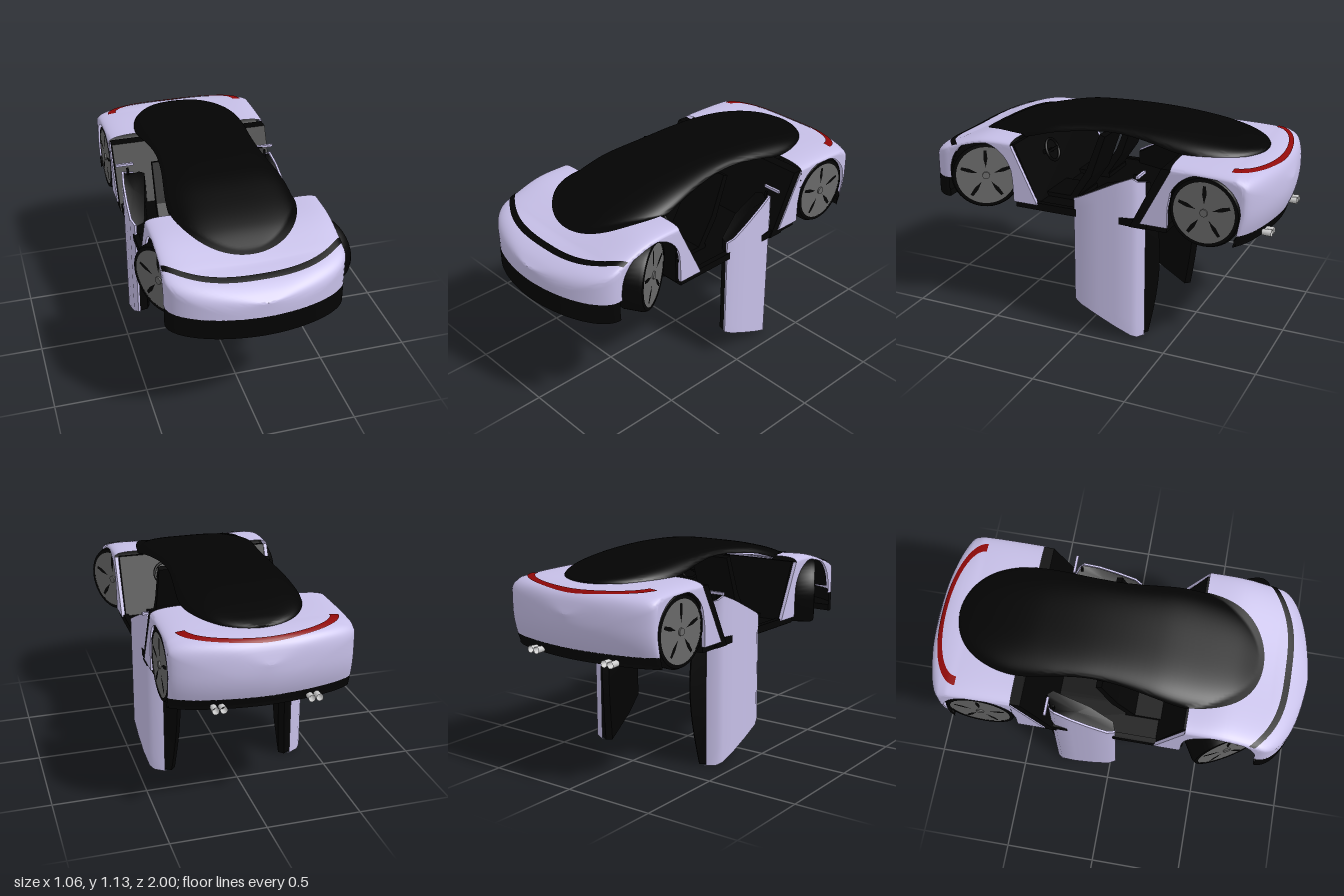
import * as THREE from 'three';
import { toCreasedNormals } from 'three/addons/utils/BufferGeometryUtils.js';

const mat = (name, color) => new THREE.MeshStandardMaterial({ name, color, side: THREE.DoubleSide });
const clamp = (v) => Math.min(1, Math.max(0, v));

// Smooth lookup in [z, value] pairs sorted by falling z
function lookup(table, z) {
  const n = table.length - 1;
  let i = 0;
  while (i < n - 1 && z < table[i + 1][0]) i++;
  const slope = (k) => {
    const a = table[Math.max(0, k - 1)], b = table[Math.min(n, k + 1)];
    return (b[1] - a[1]) / (b[0] - a[0]);
  };
  const [z0, v0] = table[i], [z1, v1] = table[i + 1], h = z1 - z0, t = clamp((z - z0) / h);
  const q = t * t * (3 - 2 * t);
  return v0 + (v1 - v0) * q + h * t * (1 - t) * ((1 - t) * slope(i) - t * slope(i + 1));
}

const WHEEL_Y = 0.807, WHEEL_R = 0.187, ARCH_R = 0.192, FRONT_Z = 0.585, REAR_Z = -0.68;
const HOOD = [[1, 0.845], [0.95, 0.895], [0.88, 0.942], [0.75, 0.998], [0.585, 1.046], [0.4, 1.052],
  [-0.5, 1.048], [-0.8, 1.04], [-0.92, 1.015], [-0.97, 0.975], [-1, 0.89]];

// Half width of the body
function halfWidth(z) {
  if (z > 0.8) return 0.455 * Math.max(0, 1 - ((z - 0.8) / 0.2) ** 1.9) ** 0.53;
  if (z < -0.88) return 0.463 * Math.max(0, 1 - ((-z - 0.88) / 0.12) ** 1.7) ** 0.6;
  return z < 0 ? 0.455 + 0.008 * clamp(-z / 0.88) : 0.455;
}
// Height of the upper skin, s = share of the half width
function topY(z, s) {
  const dip = z > 0 ? 0.044 * clamp((1 - z) / 0.2) : 0.022 * clamp((1 + z) / 0.2);
  const round = 0.054 + 0.055 * clamp((-z - 0.84) / 0.12) + 0.015 * clamp((z - 0.8) / 0.15);
  return lookup(HOOD, z) - dip * (1 - s * s) - round * (1 - Math.sqrt(Math.max(0, 1 - s ** 4)));
}
const skinY = (x, z) => topY(z, Math.min(1, Math.abs(x) / Math.max(1e-4, halfWidth(z))));
// Tail tucks in towards the bottom
const tuck = (y, z) => z * (1 - 0.06 * clamp((0.86 - y) / 0.2) ** 2 * clamp((-z - 0.8) / 0.1));

function grid(nu, nv, fn, crease = 0.9) {
  const pos = [], idx = [];
  for (let i = 0; i <= nu; i++) for (let j = 0; j <= nv; j++) pos.push(...fn(i / nu, j / nv, i, j));
  for (let i = 0; i < nu; i++) for (let j = 0; j < nv; j++) {
    const a = i * (nv + 1) + j, b = a + nv + 1;
    idx.push(a, b, a + 1, b, b + 1, a + 1);
  }
  const g = new THREE.BufferGeometry();
  g.setAttribute('position', new THREE.Float32BufferAttribute(pos, 3));
  g.setIndex(idx);
  return toCreasedNormals(g, crease);
}
// Outline in [z, y], extruded from x0 to x1
function slab(points, x0, x1) {
  const shape = new THREE.Shape(points.map(([z, y]) => new THREE.Vector2(-z, y)));
  return new THREE.ExtrudeGeometry(shape, { depth: Math.abs(x1 - x0), bevelEnabled: false })
    .rotateY(Math.PI / 2).translate(Math.min(x0, x1), 0, 0);
}
const box = (w, h, d, x, y, z) => new THREE.BoxGeometry(w, h, d).translate(x, y, z);

// Painted shell with wheel arches, lofted along z
function shell(zs, wheelZ, base) {
  const nSide = 6, M = nSide + 16;
  return grid(zs.length - 1, 2 * M, (u, v, i, j) => {
    const z = zs[i], w = halfWidth(z), k = j <= M ? j : 2 * M - j, sign = j <= M ? -1 : 1;
    const dz = z - wheelZ, edge = topY(z, 1);
    const low = Math.min(edge - 0.001, Math.abs(dz) < ARCH_R ? WHEEL_Y + Math.sqrt(ARCH_R ** 2 - dz * dz) : base);
    const s = k <= nSide ? 1 : 1 - ((k - nSide) / 16) ** 2;
    const y = k <= nSide ? low + (edge - low) * k / nSide : topY(z, s);
    return [sign * w * s, y, tuck(y, z)];
  });
}
// Stations from the wheel area to the end, dense at the end
function stations(start, bend, end, wheelZ) {
  const zs = [wheelZ - ARCH_R + 1e-4, wheelZ + ARCH_R - 1e-4, wheelZ - ARCH_R - 1e-4, wheelZ + ARCH_R + 1e-4];
  for (let i = 0; i < 44; i++) zs.push(start + (bend - start) * i / 44);
  for (let i = 0; i <= 16; i++) zs.push(bend + (end - bend) * Math.sin(i / 16 * Math.PI / 2));
  const lo = Math.min(start, end), hi = Math.max(start, end);
  return zs.filter((z) => z >= lo && z <= hi).sort((a, b) => a - b);
}

export function createModel() {
  const car = new THREE.Group();
  const paint = mat('lavender paint', 0xc6bfe7), black = mat('black', 0x030303), grey = mat('rim grey', 0x686868);
  const red = mat('tail light red', 0x900808), metal = mat('exhaust metal', 0xd0d0d0);
  const add = (name, geo, m, parent = car) => {
    const mesh = new THREE.Mesh(geo, m);
    mesh.name = name;
    parent.add(mesh);
    return mesh;
  };

  // Body shells and their trim
  add('frontBody', shell(stations(0.4, 0.8, 1, FRONT_Z), FRONT_Z, 0.765), paint);
  add('rearBody', shell(stations(-0.5, -0.88, -1, REAR_Z), REAR_Z, 0.715), paint);
  add('frontLightStrip', grid(60, 4, (u, v) => {
    const x = 0.453 * (2 * u - 1), z = 0.885 - 0.14 * Math.abs(x / 0.455) ** 3 + (v - 0.5) * 0.034;
    return [x, skinY(x, z) + 0.005, z];
  }), black);
  add('tailLight', grid(60, 4, (u, v) => {
    const a = (u - 0.5) * Math.PI, x = (0.36 + 0.047 * v) * Math.sin(a), z = -0.798 - (0.137 + 0.025 * v) * Math.cos(a);
    return [x, skinY(x, z) + 0.005, z];
  }), red);
  const bumper = (dir, bend, len, y1) => grid(48, 4, (u, v) => {
    const a = (u - 0.5) * Math.PI, y = 0.655 + (y1 - 0.655) * v, z = dir * (bend + len * Math.cos(a));
    return [Math.sign(a) * halfWidth(z), y, tuck(y, z)];
  });
  add('frontBumper', bumper(1, 0.79, 0.21, 0.766), black);
  add('rearBumper', bumper(-1, 0.872, 0.128, 0.717), black);

  // Floor pan, narrow between the wheels
  const half = [];
  for (let i = 0; i <= 12; i++) {
    const z = 0.79 + 0.21 * Math.cos(i / 12 * Math.PI / 2);
    half.push([halfWidth(z), z - 0.002]);
  }
  half.push([0.23, 0.788], [0.23, 0.38], [0.44, 0.38], [0.44, -0.48], [0.28, -0.48], [0.28, -0.83]);
  for (let i = 12; i >= 0; i--) {
    const z = -0.872 - 0.128 * Math.cos(i / 12 * Math.PI / 2);
    half.push([halfWidth(z) - 0.003, tuck(0.675, z)]);
  }
  const outline = [...half, ...half.slice(1, -1).reverse().map(([x, z]) => [-x, z])];
  add('floorPan', new THREE.ExtrudeGeometry(new THREE.Shape(outline.map((p) => new THREE.Vector2(...p))),
    { depth: 0.035, bevelEnabled: false }).rotateX(Math.PI / 2).translate(0, 0.692, 0), black);
  add('frontCore', box(0.44, 0.22, 0.46, 0, 0.79, 0.63), black);
  add('rearCore', box(0.54, 0.31, 0.38, 0, 0.835, -0.69), black);
  add('frontBulkhead', slab([[0.41, 1], [0.39, 1], [0.25, 0.68], [0.4, 0.68]], -0.43, 0.43), black);
  add('rearBulkhead', slab([[-0.45, 1.0], [-0.51, 1.0], [-0.37, 0.66], [-0.28, 0.66]], -0.452, 0.452), black);

  // Dark canopy arching over the open cabin, pinched at its crest
  const ROOF = [[0.75, 0.955], [0.6, 1.025], [0.4, 1.08], [0.2, 1.117], [-0.1, 1.132], [-0.4, 1.118],
    [-0.6, 1.092], [-0.8, 1.052], [-0.86, 1.03]];
  const EDGE = [[0.75, 0.945], [0.6, 0.975], [0.4, 1.01], [0.2, 1.06], [-0.1, 1.088], [-0.3, 1.072],
    [-0.5, 1.035], [-0.86, 1.02]];
  add('canopy', grid(72, 40, (u, v) => {
    const t = -Math.cos(u * Math.PI), z = -0.055 + 0.805 * t, p = Math.sin((v - 0.5) * Math.PI);
    const pinch = 0.055 * Math.cos(clamp(Math.abs(z + 0.08) / 0.55) * Math.PI / 2) ** 2;
    const x = p * (0.331 + 0.014 * t - pinch) * Math.sqrt(Math.max(0, 1 - Math.abs(t) ** 4.6));
    const e = lookup(EDGE, z), roof = lookup(ROOF, z);
    let y = e + (roof - e) * Math.sqrt(Math.max(0, 1 - p ** 4));
    if (z >= 0.39 || z <= -0.49) y = Math.max(y, skinY(x, z) + 0.005);
    return [x, y, z];
  }), black);

  // Wheel: tyre, rim disc, five slots and hub
  function wheel(name, side, x, z, steer) {
    const g = new THREE.Group();
    g.name = name;
    const R = WHEEL_R, profile = [[0.16, -0.07], [0.178, -0.068], [R, -0.05], [R, 0.05], [0.178, 0.068], [0.16, 0.07]];
    add('tyre', toCreasedNormals(new THREE.LatheGeometry(profile.map((p) => new THREE.Vector2(...p)), 48)
      .rotateZ(Math.PI / 2), 0.5), black, g);
    add('rim', new THREE.CylinderGeometry(0.163, 0.163, 0.134, 48).rotateZ(Math.PI / 2), grey, g);
    add('hub', new THREE.CylinderGeometry(0.02, 0.02, 0.012, 20).rotateZ(Math.PI / 2).translate(side * 0.069, 0, 0), grey, g);
    const slot = new THREE.Shape([[0, 0.045], [0.011, 0.095], [0.008, 0.14], [-0.008, 0.14], [-0.011, 0.095]]
      .map((p) => new THREE.Vector2(...p)));
    for (let i = 0; i < 5; i++) {
      add('rimSlot', new THREE.ShapeGeometry(slot).rotateZ(i * Math.PI * 0.4)
        .rotateY(side * Math.PI / 2).translate(side * 0.069, 0, 0), black, g);
    }
    g.position.set(x, WHEEL_Y, z);
    g.rotation.y = steer;
    car.add(g);
  }

  for (const s of [1, -1]) {
    const side = s > 0 ? 'left' : 'right';
    wheel(side + 'FrontWheel', s, s * 0.383, FRONT_Z + 0.012, Math.PI / 6);
    wheel(side + 'RearWheel', s, s * 0.388, REAR_Z, 0);
    for (const z of [FRONT_Z, REAR_Z]) {
      add(side + 'ArchLiner', new THREE.CylinderGeometry(0.19, 0.19, 0.22, 32, 1, true, 0, Math.PI)
        .rotateZ(Math.PI / 2).translate(s * 0.335, WHEEL_Y, z), black);
    }
    // Slanted panels beside the door opening, and sill
    add(side + 'FrontPanel', slab([[0.4, 0.998], [0.25, 0.69], [0.39, 0.69], [0.393, 0.8], [0.4, 0.86]], s * 0.435, s * 0.455), paint);
    add(side + 'RearPanel', slab([[-0.5, 0.994], [-0.34, 0.69], [-0.487, 0.69], [-0.488, 0.8], [-0.5, 0.87]], s * 0.44, s * 0.459), paint);
    add(side + 'Sill', box(0.03, 0.04, 0.72, s * 0.43, 0.68, 0.02), black);
    // Reclined seat
    add(side + 'SeatBack', slab([[0.14, 0.69], [0.1, 0.69], [0, 0.84], [-0.08, 1.07], [-0.05, 1.08], [0.03, 0.87]], s * 0.08, s * 0.31), black);
    add(side + 'SeatCushion', box(0.23, 0.03, 0.25, s * 0.195, 0.7, 0.2), black);

    // Door hanging down: skin wrapped inwards at its edge, thick inner trim, mirror
    const door = new THREE.Group();
    door.name = side + 'Door';
    car.add(door);
    const top = (z) => 0.76 + 0.16 * clamp((0.04 - z) / 0.32) - 0.04 * clamp((-0.28 - z) / 0.05);
    const bottom = (z) => 0.18 - 0.18 * clamp((0.04 - z) / 0.37);
    const skin = [[0.427, 0.038], [0.438, 0.04], [0.455, 0], [0.454, -0.1], [0.448, -0.2], [0.435, -0.285], [0.415, -0.312], [0.36, -0.333]];
    const n = skin.length - 1;
    add('doorSkin', grid(n, 10, (u, v, i) => {
      const [x, z] = skin[i];
      return [s * x, bottom(z) + (top(z) - bottom(z)) * v, z];
    }), paint, door);
    for (const edge of [top, bottom]) {
      add('doorSkinEdge', grid(n, 1, (u, v, i, j) => [s * (skin[i][0] - 0.012 * j), edge(skin[i][1]), skin[i][1]]), paint, door);
    }
    // Trim cross-section [x, z, bow]: backing of the skin, then the bowed inner side
    const trim = [...skin.slice(1).map(([x, z]) => [x - 0.01, z + (z < -0.3 ? 0.006 : -0.003), 0]),
      [0.3, -0.372, 1], [0.275, -0.345, 1], [0.32, -0.14, 1], [0.38, 0.02, 0]];
    trim.push(trim[0]);
    const trimPoint = (j, u) => {
      const [x, z, b] = trim[j], bow = b * (0.5 - Math.sin(u * Math.PI) * 0.5);
      const y0 = bottom(z) + 0.005, y1 = top(z) - 0.01;
      return [s * (x + 0.05 * bow), y0 + (y1 - y0) * u, z + b * 0.02 * (1 - 2 * Math.sin(u * Math.PI)) + 0.02 * bow];
    };
    add('doorTrim', grid(16, trim.length - 1, (u, v, i, j) => trimPoint(j, u), 0.5), black, door);
    for (const u of [0, 1]) {
      add('doorTrimEnd', grid(trim.length - 1, 1, (a, b, i, j) =>
        j ? trimPoint(i, u) : [s * 0.39, (u ? top(-0.17) - 0.01 : bottom(-0.17) + 0.005), -0.17]), black, door);
    }
    add('mirrorArm', box(0.012, 0.04, 0.012, s * 0.4, 0.91, -0.29), black, door);
    add('mirror', box(0.1, 0.014, 0.014, s * 0.41, 0.935, -0.325), paint, door);

    // Twin exhaust
    const path = new THREE.CatmullRomCurve3([[0.14, 0.662, -0.7], [0.17, 0.658, -0.79], [0.225, 0.658, -0.86], [0.24, 0.672, -0.93]]
      .map(([x, y, z]) => new THREE.Vector3(s * x, y, z)));
    add(side + 'ExhaustPipe', new THREE.TubeGeometry(path, 20, 0.018, 12), metal);
    for (const dx of [-0.02, 0.02]) {
      add(side + 'ExhaustTip', new THREE.CylinderGeometry(0.018, 0.016, 0.05, 16, 1, true).rotateX(-Math.PI / 2)
        .translate(s * 0.24 + dx, 0.674, -0.95), metal);
    }
  }

  // Steering wheel and column
  const steering = new THREE.Group();
  steering.name = 'steeringWheel';
  add('steeringRim', new THREE.TorusGeometry(0.06, 0.008, 8, 28), black, steering);
  add('steeringSpoke', box(0.11, 0.014, 0.01, 0, 0, 0), black, steering);
  add('steeringColumn', new THREE.CylinderGeometry(0.012, 0.012, 0.13, 10).rotateX(Math.PI / 2).translate(0, 0, 0.065), black, steering);
  steering.position.set(0.19, 0.915, 0.29);
  steering.rotation.x = 0.4;
  car.add(steering);
  return car;
}
